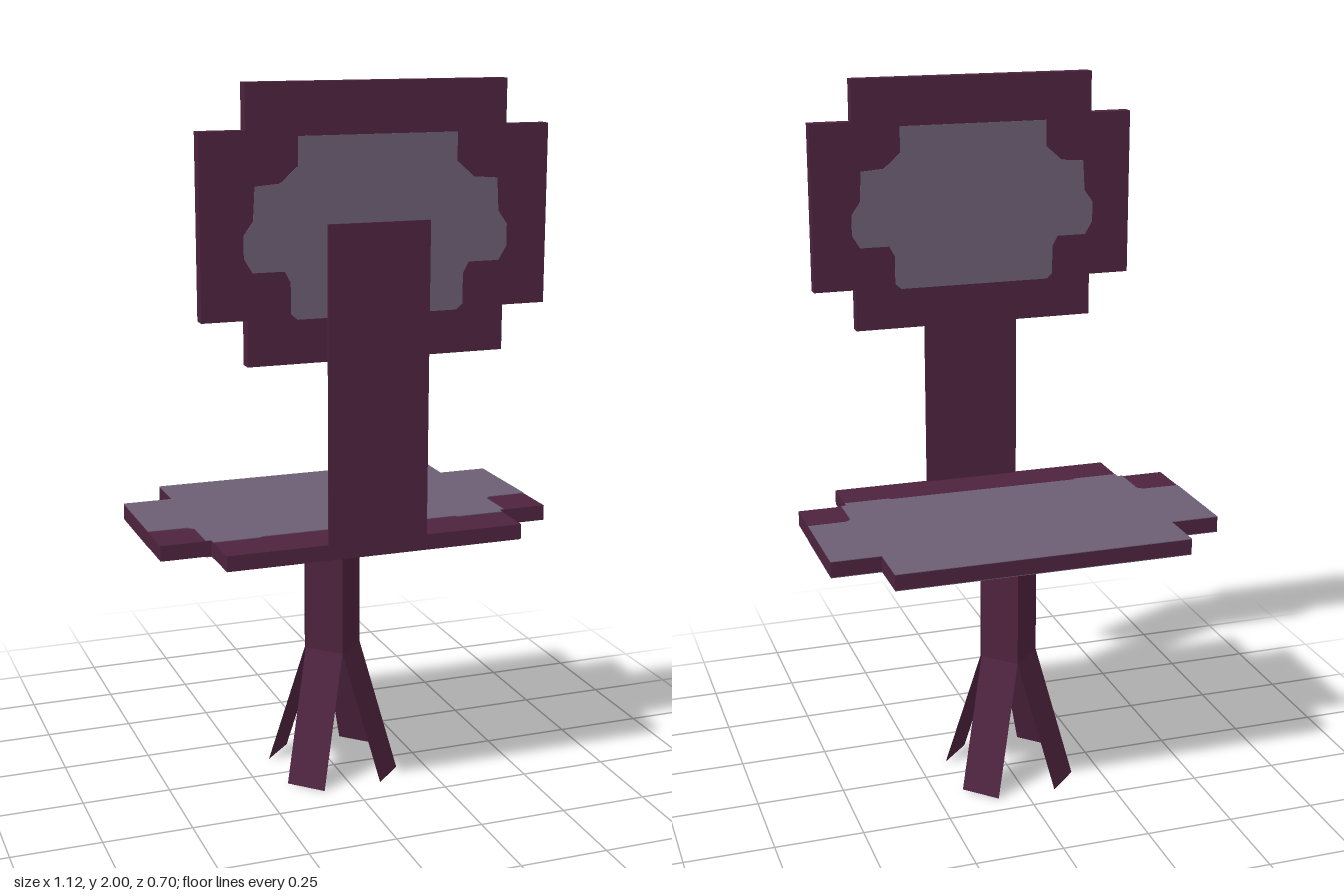
import * as THREE from 'three';

const frame = new THREE.MeshStandardMaterial({ name: 'plumFrame', color: 0x4e233e, side: THREE.DoubleSide });
const pad = new THREE.MeshStandardMaterial({ name: 'greyPad', color: 0x6d5e73 });

// Closed shape mirrored in x from its right-hand half, listed end to end
function mirrored(half) {
  const left = half.map(([x, y]) => [-x, y]).reverse();
  return new THREE.Shape([...half, ...left].map(([x, y]) => new THREE.Vector2(x, y)));
}

// Plus-shaped half outline: wide arms (w, a0..a1) and tall middle (m, b0..b1)
const plus = (w, a0, a1, m, b0, b1) =>
  mirrored([[m, b0], [m, a0], [w, a0], [w, a1], [m, a1], [m, b1]]);

const slab = (shape, depth) => new THREE.ExtrudeGeometry(shape, { depth, bevelEnabled: false });

// Horizontal slab: shape y becomes z, top face at the given height
const flatSlab = (shape, depth, top) => slab(shape, depth).rotateX(Math.PI / 2).translate(0, top, 0);

// Flat strip of one leg: vertical above, splayed outward below
function legGeometry(sx, sz) {
  const w = 0.083, zSide = sz > 0 ? -0.01 : -0.018;
  const row = (y, out) => [
    sx * out, y, zSide + sz * (w + out),
    sx * (w + out), y, zSide + sz * out,
  ];
  const geo = new THREE.BufferGeometry();
  geo.setAttribute('position', new THREE.Float32BufferAttribute(
    [...row(0, 0.085), ...row(0.375, 0), ...row(0.375, 0), ...row(0.757, 0)], 3));
  const index = [];
  for (const i of [0, 4]) {
    if (sx * sz > 0) index.push(i, i + 1, i + 3, i, i + 3, i + 2);
    else index.push(i, i + 3, i + 1, i, i + 2, i + 3);
  }
  geo.setIndex(index);
  geo.computeVertexNormals();
  return geo;
}

export function createModel() {
  const model = new THREE.Group();
  model.name = 'chair';
  const add = (name, geometry, material) => {
    const mesh = new THREE.Mesh(geometry, material);
    mesh.name = name;
    model.add(mesh);
  };

  // Seat with a grey pad on the top and underside
  add('seat', flatSlab(plus(0.56, -0.21, 0.205, 0.42, -0.35, 0.348), 0.043, 0.799), frame);
  const seatPad = mirrored([
    [0.42, -0.35], [0.42, -0.21], [0.56, -0.21], [0.56, 0.073], [0.45, 0.075], [0.435, 0.09],
    [0.435, 0.205], [0.42, 0.205], [0.42, 0.225], [0.29, 0.225], [0.28, 0.218],
  ]);
  add('seatPadTop', flatSlab(seatPad, 0.002, 0.801), pad);
  add('seatPadUnderside', flatSlab(seatPad, 0.002, 0.756), pad);

  // Backrest with a grey pad on both faces
  add('backrest', slab(plus(0.473, 1.41, 1.883, 0.353, 1.29, 2), 0.036).translate(0, 0, 0.299), frame);
  const backPad = mirrored([
    [0.22, 1.405], [0.237, 1.42], [0.237, 1.5], [0.253, 1.53], [0.338, 1.53], [0.36, 1.567],
    [0.36, 1.625], [0.335, 1.66], [0.33, 1.746], [0.264, 1.751], [0.216, 1.793], [0.216, 1.867],
  ]);
  add('backrestPadFront', slab(backPad, 0.002).translate(0, 0, 0.335), pad);
  add('backrestPadRear', slab(backPad, 0.002).translate(0, 0, 0.297), pad);

  // Thin upright joining seat and backrest
  add('backSupport', new THREE.BoxGeometry(0.28, 0.87, 0.007).translate(0, 1.21, 0.3445), frame);

  // Four strips make a diamond column and splay into legs
  for (const sx of [1, -1]) {
    for (const sz of [1, -1]) {
      add((sz > 0 ? 'front' : 'rear') + (sx > 0 ? 'Left' : 'Right') + 'Leg', legGeometry(sx, sz), frame);
    }
  }
  return model;
}
